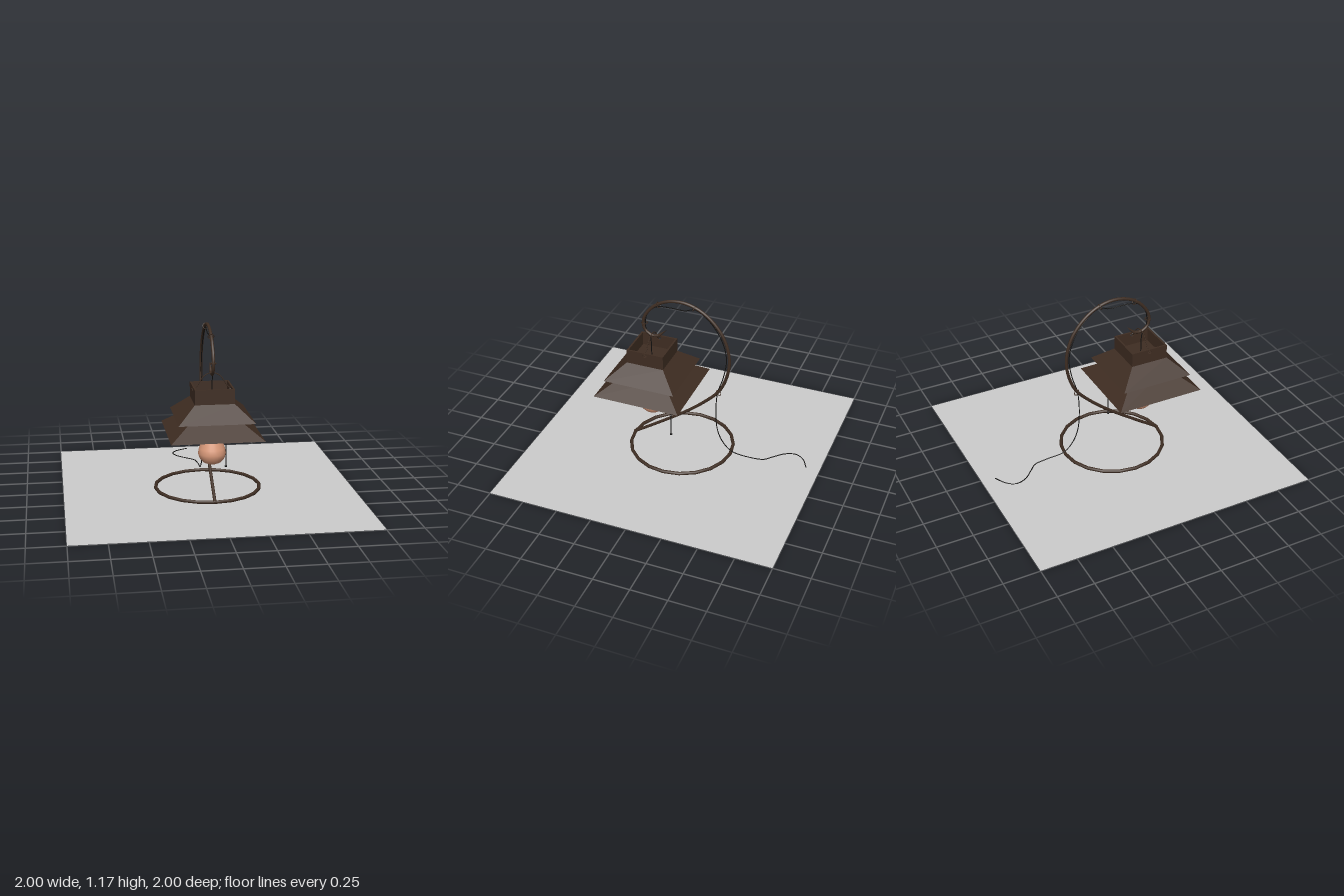
import * as THREE from 'three';

const material = (name, color, extra = {}) => {
  const m = new THREE.MeshStandardMaterial({ color, ...extra });
  m.name = name;
  return m;
};

export function createModel() {
  const lamp = new THREE.Group();
  lamp.name = 'deskLamp';
  const wood = material('dark wood', 0x3f2d22, { flatShading: true, side: THREE.DoubleSide });
  const iron = material('brown iron', 0x3f2e23);
  const black = material('black cord', 0x121110);
  const glass = material('amber glass', 0xdd9c7c);
  const grey = material('grey ground', 0xcccccc, { side: THREE.DoubleSide });

  const add = (name, geometry, mat, x = 0, y = 0, z = 0, parent = lamp) => {
    const mesh = new THREE.Mesh(geometry, mat);
    mesh.name = name;
    mesh.position.set(x, y, z);
    parent.add(mesh);
    return mesh;
  };
  const curve = (pts) => new THREE.CatmullRomCurve3(pts.map((p) => new THREE.Vector3(...p)));
  const tube = (name, pts, r, mat, steps = 60, sides = 6, parent = lamp) =>
    add(name, new THREE.TubeGeometry(curve(pts), steps, r, sides), mat, 0, 0, 0, parent);

  // Ground sheet and ring foot
  add('groundSheet', new THREE.PlaneGeometry(2, 2).rotateX(-Math.PI / 2), grey, 0, 0.002, 0);
  add('baseRing', new THREE.TorusGeometry(0.364, 0.012, 8, 20).rotateX(Math.PI / 2), iron, 0, 0.012, 0);

  // Curved stand, listed as [z, y] from the foot to the hook
  const path = [
    [0.365, 0.015], [0.166, 0.15], [-0.02, 0.283], [-0.155, 0.396], [-0.273, 0.524],
    [-0.33, 0.674], [-0.337, 0.807], [-0.29, 0.957], [-0.2, 1.07], [-0.1, 1.134],
    [0.01, 1.158], [0.128, 1.136], [0.23, 1.064], [0.284, 0.968], [0.273, 0.893],
    [0.22, 0.857], [0.166, 0.868],
  ].map(([z, y]) => [0, y, z]);
  tube('stand', path, 0.011, iron, 64, 8);
  add('standFoot', new THREE.SphereGeometry(0.0125, 10, 8), iron, 0, 0.0145, 0.365);

  // Pointed end of the hook
  const tipStart = new THREE.Vector3(0, 0.867, 0.17);
  const tipEnd = new THREE.Vector3(0, 0.922, 0.115);
  const tipDir = tipEnd.clone().sub(tipStart);
  const tip = add('hookTip', new THREE.ConeGeometry(0.012, tipDir.length(), 8), iron);
  tip.position.copy(tipStart).lerp(tipEnd, 0.5);
  tip.quaternion.setFromUnitVectors(new THREE.Vector3(0, 1, 0), tipDir.normalize());

  // Power cord following the stand, then trailing over the ground
  tube('powerCord', [
    [0, 0.7, 0.225], [0, 0.85, 0.235], [0, 0.89, 0.262], [0, 0.96, 0.268], [0, 1.04, 0.245],
    [0, 1.09, 0.18], [0, 1.1, 0.08], [0, 1.1, -0.02], [0, 1.122, -0.085],
    [0, 1.09, -0.155], [0, 0.96, -0.265], [0, 0.8, -0.318], [0, 0.64, -0.3],
    [0, 0.5, -0.26], [0, 0.32, -0.251], [0, 0.18, -0.268], [0, 0.085, -0.315],
    [0, 0.032, -0.38], [0, 0.018, -0.51], [-0.016, 0.016, -0.605],
    [-0.065, 0.016, -0.655], [-0.135, 0.016, -0.73], [-0.155, 0.016, -0.8],
    [-0.12, 0.016, -0.86], [-0.035, 0.016, -0.91],
  ], 0.0035, black, 120, 5);

  // Wire clips: [z, y, tangent z, tangent y]
  for (const [z, y, tz, ty] of [
    [0.172, 1.105, 0.85, -0.5], [-0.085, 1.13, 0.9, 0.4],
    [0.276, 0.945, 0, 1], [-0.268, 0.505, -0.7, 0.75],
  ]) {
    const clip = add('cordClip', new THREE.TorusGeometry(0.02, 0.003, 5, 14), iron, 0, y, z);
    clip.quaternion.setFromUnitVectors(new THREE.Vector3(0, 0, 1), new THREE.Vector3(0, ty, tz).normalize());
  }

  // Hanging lantern head
  const head = new THREE.Group();
  head.name = 'lampHead';
  head.position.z = 0.222;
  lamp.add(head);
  const shade = (name, y0, half0, y1, half1) => add(name,
    new THREE.CylinderGeometry(half1 * Math.SQRT2, half0 * Math.SQRT2, y1 - y0, 4, 1, true).rotateY(Math.PI / 4),
    wood, 0, (y0 + y1) / 2, 0, head);
  shade('lowerShade', 0.47, 0.31, 0.6, 0.133);
  shade('upperShade', 0.577, 0.255, 0.685, 0.133);

  // Open collar box; the side walls have a hole for the bail
  const half = 0.133, wall = 0.012;
  const side = new THREE.Shape([[-half, 0], [half, 0], [half, 0.1], [-half, 0.1]]
    .map(([x, y]) => new THREE.Vector2(x, y)));
  side.holes.push(new THREE.Path().absarc(0, 0.08, 0.014, 0, Math.PI * 2, true));
  for (const s of [-1, 1]) {
    const panel = new THREE.ExtrudeGeometry(side, { depth: wall, bevelEnabled: false, curveSegments: 10 });
    panel.translate(0, 0, -wall / 2).rotateY(Math.PI / 2);
    add('collarSide', panel, wood, s * (half - wall / 2), 0.685, 0, head);
    add('collarPanel', new THREE.BoxGeometry(2 * (half - wall), 0.1, wall), wood, 0, 0.735, s * (half - wall / 2), head);
  }
  add('collarFloor', new THREE.BoxGeometry(2 * half, 0.01, 2 * half), wood, 0, 0.685, 0, head);

  // Wire bail through the collar holes
  tube('bail', [
    [-0.14, 0.765, 0], [-0.115, 0.77, 0], [-0.09, 0.8, 0], [-0.06, 0.845, 0], [-0.025, 0.867, 0],
    [0, 0.87, 0],
    [0.025, 0.867, 0], [0.06, 0.845, 0], [0.09, 0.8, 0], [0.115, 0.77, 0], [0.14, 0.765, 0],
  ], 0.0035, iron, 40, 5, head);

  // Socket and bulb
  add('socket', new THREE.CylinderGeometry(0.06, 0.06, 0.225, 20), black, 0, 0.57, 0, head);
  const bulb = [[0, 0.238], [0.03, 0.242], [0.06, 0.255], [0.084, 0.282], [0.095, 0.318],
    [0.088, 0.352], [0.074, 0.39], [0.063, 0.43], [0.056, 0.465]].map(([r, y]) => new THREE.Vector2(r, y));
  add('bulb', new THREE.LatheGeometry(bulb, 24), glass, 0, 0, 0, head);

  // Pull chain with end bead
  add('pullChain', new THREE.CylinderGeometry(0.0035, 0.0035, 0.39, 6), black, 0.125, 0.36, 0.035);
  add('pullBead', new THREE.SphereGeometry(0.009, 10, 8), black, 0.125, 0.16, 0.035);
  return lamp;
}
